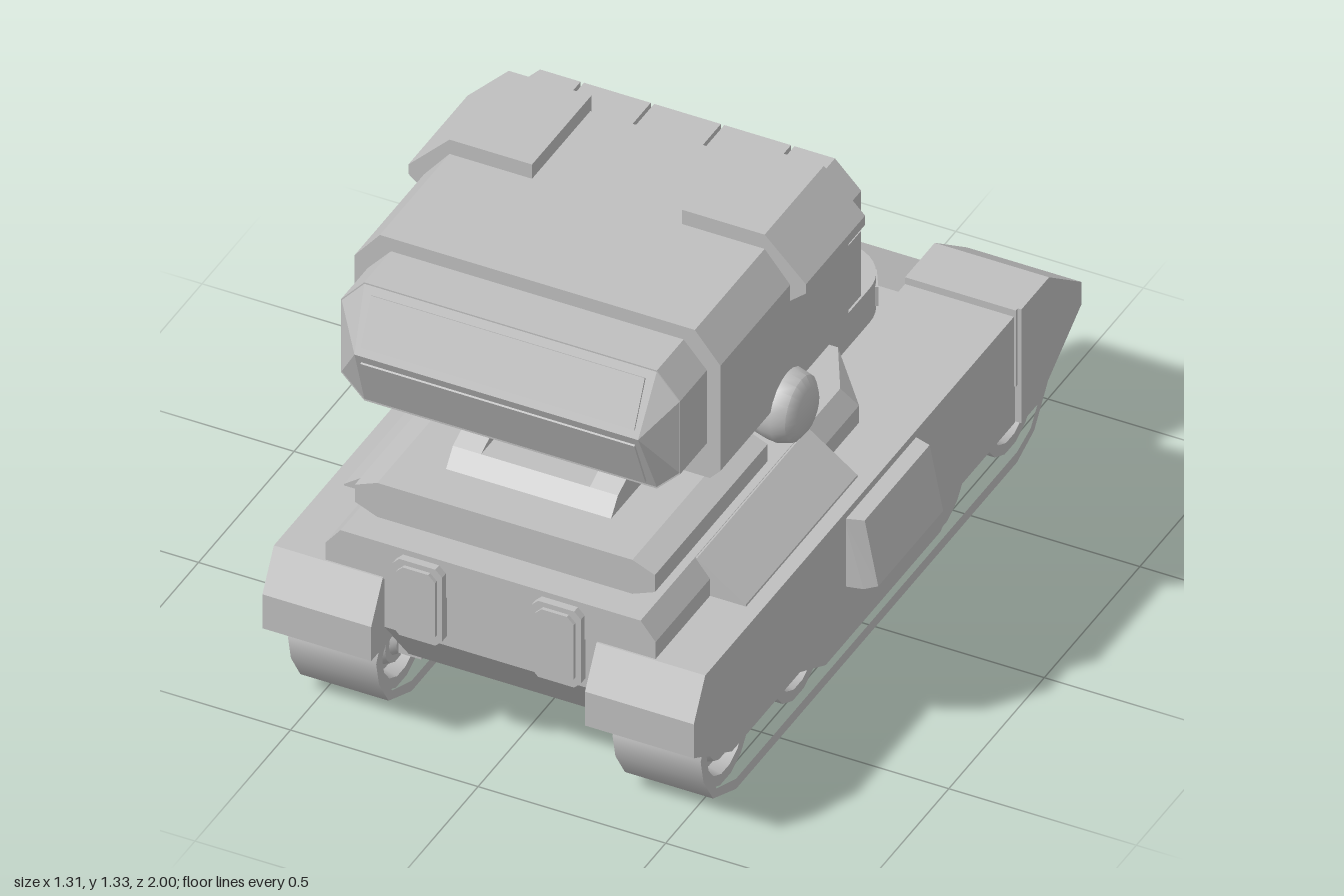
import * as THREE from 'three';
import { toCreasedNormals } from 'three/addons/utils/BufferGeometryUtils.js';
import { ConvexGeometry } from 'three/addons/geometries/ConvexGeometry.js';

const grey = new THREE.MeshStandardMaterial({ color: 0xbfbfbf });
grey.name = 'plain grey';

export function createModel() {
  const root = new THREE.Group();
  root.name = 'missileTank';

  const add = (name, geo) => {
    const m = new THREE.Mesh(geo, grey);
    m.name = name;
    root.add(m);
    return m;
  };
  const box = (name, x0, x1, y0, y1, z0, z1) => {
    const m = add(name, new THREE.BoxGeometry(x1 - x0, y1 - y0, z1 - z0));
    m.position.set((x0 + x1) / 2, (y0 + y1) / 2, (z0 + z1) / 2);
    return m;
  };
  const outline = (pts) => new THREE.Shape(pts.map(([a, b]) => new THREE.Vector2(a, b)));
  // side profile of [z, y] points, extruded along x
  const sideGeo = (pts, x0, x1, hole) => {
    const flip = (p) => p.map(([z, y]) => [-z, y]);
    const shape = outline(flip(pts));
    if (hole) shape.holes.push(outline(flip(hole)));
    return new THREE.ExtrudeGeometry(shape, { depth: x1 - x0, bevelEnabled: false })
      .rotateY(Math.PI / 2).translate(x0, 0, 0);
  };
  const side = (name, pts, x0, x1) => add(name, sideGeo(pts, x0, x1));
  const pair = (name, pts, x0, x1) => {
    side(name + 'Left', pts, x0, x1);
    side(name + 'Right', pts, -x1, -x0);
  };
  // front profile of [x, y] points, extruded along z
  const front = (name, pts, z0, z1) => add(name, new THREE.ExtrudeGeometry(outline(pts),
    { depth: z1 - z0, bevelEnabled: false }).translate(0, 0, z0));
  const hull = (name, pts) => add(name, new ConvexGeometry(pts.map((p) => new THREE.Vector3(...p))));
  const mirrored = (pts) => [...pts, ...pts.map(([x, y, z]) => [-x, y, z])];
  const symmetric = (half) => [...half, ...half.map(([x, y]) => [-x, y]).reverse()];

  // lower hull, fenders and skirts
  side('centreHull', [[0.93, 0.48], [0.93, 0.33], [0.8, 0.165], [-0.8, 0.165],
    [-0.96, 0.33], [-0.64, 0.48]], -0.287, 0.287);
  pair('sponson', [[0.94, 0.48], [1, 0.375], [1, 0.275], [-0.68, 0.275], [-0.68, 0.48]], 0.285, 0.57);
  pair('skirt', [[0.94, 0.48], [1, 0.375], [1, 0.275], [0.8, 0.165], [-0.68, 0.165], [-0.68, 0.48]], 0.56, 0.575);
  pair('lowerSkirt', [[0.45, 0.2], [0.45, 0.165], [0.3, 0.09], [-0.3, 0.09],
    [-0.42, 0.165], [-0.42, 0.2]], 0.553, 0.57);
  pair('rearFender', [[-0.675, 0.5], [-0.83, 0.5], [-1, 0.375], [-1, 0.31],
    [-0.94, 0.275], [-0.675, 0.275]], 0.285, 0.58);
  pair('rearSkirt', [[-0.685, 0.5], [-0.83, 0.5], [-1, 0.375], [-1, 0.31],
    [-0.77, 0.165], [-0.685, 0.165]], 0.565, 0.59);

  // tilted boxes on the flanks
  for (const s of [1, -1]) {
    hull('flankBox', [
      [0.57, 0.46, 0.205], [0.57, 0.46, -0.165], [0.57, 0.26, 0.205], [0.57, 0.26, -0.165],
      [0.618, 0.46, 0.19], [0.618, 0.46, -0.15], [0.654, 0.278, 0.19], [0.654, 0.278, -0.15],
      [0.62, 0.265, 0.2], [0.62, 0.265, -0.16],
    ].map(([x, y, z]) => [s * x, y, z]));
    // sloping panels beside the upper deck
    const w = [[0.3, 0.475], [0.537, 0.475], [0.535, 0.485], [0.405, 0.579], [0.3, 0.579]];
    front('deckPanel', w.map(([x, y]) => [s * x, y]), 0.065, 0.65);
  }

  // upper deck
  hull('upperDeck', mirrored([
    [0.44, 0.475, 0.935], [0.44, 0.53, 0.935], [0.4, 0.58, 0.935],
    [0.44, 0.475, -0.13], [0.44, 0.53, -0.13], [0.4, 0.58, -0.11],
    [0.33, 0.475, -0.255], [0.32, 0.58, -0.255],
  ]));
  // raised front hatches
  for (const s of [1, -1]) {
    const g = (w, h, z) => {
      const sh = new THREE.Shape(), c = 0.018;
      [[-w + c, -h], [w - c, -h], [w, -h + c], [w, h - c], [w - c, h], [-w + c, h], [-w, h - c], [-w, -h + c]]
        .forEach(([x, y], i) => (i ? sh.lineTo(x, y) : sh.moveTo(x, y)));
      return new THREE.ExtrudeGeometry(sh, { depth: z, bevelEnabled: false }).translate(s * 0.185, 0.452, 0.925);
    };
    add('frontHatch', g(0.066, 0.112, 0.03));
    add('frontHatchPanel', g(0.052, 0.098, 0.04));
  }

  // rear tongue with a round hatch
  const tongue = new THREE.Shape();
  tongue.moveTo(0, 0.2);
  tongue.lineTo(0.28, 0.2);
  tongue.lineTo(0.28, 0.5);
  tongue.absarc(0.14, 0.5, 0.14, 0, Math.PI, false);
  add('hatchTongue', new THREE.ExtrudeGeometry(tongue, { depth: 0.1, bevelEnabled: false, curveSegments: 10 })
    .rotateX(-Math.PI / 2).translate(0, 0.48, 0));
  add('roundHatch', toCreasedNormals(new THREE.CylinderGeometry(0.095, 0.104, 0.035, 14), 0.6))
    .position.set(0.14, 0.595, -0.495);
  for (const a of [-1.05, -0.35, 0.35, 1.05]) {
    const m = add('hatchWindow', new THREE.BoxGeometry(0.07, 0.055, 0.009));
    m.position.set(0.14 + Math.sin(a) * 0.139, 0.53, -0.5 - Math.cos(a) * 0.139);
    m.rotation.y = -a;
  }
  // sloping fins beside the rear recess
  for (const x of [-0.28, -0.036]) {
    side('recessFin', [[-0.24, 0.475], [-0.24, 0.58], [-0.3, 0.575], [-0.55, 0.475]], x, x + 0.036);
  }

  // running gear
  const loop = (d) => [[0.73, d], [0.85 - d * 0.6, 0.05 + d * 0.6], [0.9 - d, 0.13], [0.915 - d, 0.2],
    [0.88 - d, 0.27 - d], [-0.88 + d, 0.27 - d], [-0.925 + d, 0.2], [-0.9 + d, 0.13],
    [-0.83 + d * 0.6, 0.035 + d * 0.6], [-0.74, d]];
  const profile = [[0, -0.1], [0.035, -0.1], [0.045, -0.085], [0.065, -0.085], [0.075, -0.06], [0.09, -0.06],
    [0.1, -0.095], [0.13, -0.095]];
  const wheelGeo = toCreasedNormals(new THREE.LatheGeometry(
    [...profile, ...profile.map(([r, h]) => [r, -h]).reverse()].map(([r, h]) => new THREE.Vector2(r, h)), 14)
    .rotateZ(Math.PI / 2), 0.5);
  for (const s of [1, -1]) {
    const x0 = s > 0 ? 0.315 : -0.55;
    add('track', toCreasedNormals(sideGeo(loop(0), x0, x0 + 0.235, loop(0.03)), 0.8));
    for (const z of [0.74, 0.36, 0, -0.39, -0.75]) {
      add('roadWheel', wheelGeo).position.set(s * 0.432, 0.155, z);
      box('wheelAxle', Math.min(s * 0.27, s * 0.36), Math.max(s * 0.27, s * 0.36), 0.13, 0.18, z - 0.025, z + 0.025);
    }
  }

  // turret base and lifting arms
  add('turretRing', new THREE.CylinderGeometry(0.2, 0.2, 0.04, 20)).position.set(0, 0.585, 0.56);
  front('turretBase', symmetric([[0.34, 0.59], [0.4, 0.615], [0.4, 0.665], [0.34, 0.69]]), 0.27, 0.86);
  side('armFoot', [[0.74, 0.685], [0.7, 0.735], [0.32, 0.735], [0.36, 0.685]], -0.22, 0.22);
  pair('liftArm', [[0.74, 0.685], [0.7, 0.735], [0.43, 0.85], [0.4, 0.9], [0.29, 0.9], [0.26, 0.76],
    [0.36, 0.685]], 0.145, 0.22);

  // pivot axle with bulbous ends
  const half = [[0, 0.545], [0.06, 0.543], [0.085, 0.525], [0.095, 0.49], [0.092, 0.46], [0.072, 0.38]];
  add('pivotAxle', toCreasedNormals(new THREE.LatheGeometry(
    [...half.map(([r, h]) => [r, -h]), ...[...half].reverse()].map(([r, h]) => new THREE.Vector2(r, h)), 20)
    .rotateZ(Math.PI / 2), 0.7)).position.set(0, 0.857, 0.34);

  // launcher body and shoulder armour
  front('launcherBody', symmetric([[0.46, 0.86], [0.488, 0.89], [0.488, 1.2], [0.42, 1.283]]), 0.02, 0.69);
  for (const s of [1, -1]) {
    front('shoulderArmour', [[0.2, 1.27], [0.2, 1.325], [0.42, 1.325], [0.53, 1.215], [0.53, 1.188],
      [0.485, 1.15], [0.47, 1.15], [0.4, 1.27]].map(([x, y]) => [s * x, y]), 0.015, 0.325);
  }

  // front housing with wedge nose and window plates
  const rim = [[0.39, 0.897], [0.452, 0.96], [0.452, 1.175], [0.39, 1.245]];
  front('noseHousing', symmetric(rim), 0.68, 0.83);
  hull('noseWedge', mirrored([...rim.map(([x, y]) => [x, y, 0.828]), [0.378, 1.085, 0.905]]));
  for (const [name, y, z, h, tilt] of [['upperWindow', 1.163, 0.8685, 0.13, -0.438], ['lowerWindow', 0.988, 0.867, 0.155, 0.384]]) {
    const m = add(name, new THREE.BoxGeometry(0.73, h, 0.008));
    m.position.set(0, y, z);
    m.rotation.x = tilt;
  }

  // two rows of five missile tubes at the back, outer top corners cut
  for (let i = 0; i < 5; i++) {
    const x0 = -0.465 + i * 0.187, x1 = x0 + 0.178;
    box('lowerTube', x0, x1, 0.882, 1.072, -0.1, 0.03);
    const top = [[x0, 1.088], [x1, 1.088]];
    if (i === 4) top.push([x1, 1.19], [x1 - 0.07, 1.262]);
    else top.push([x1, 1.262]);
    if (i === 0) top.push([x0 + 0.07, 1.262], [x0, 1.19]);
    else top.push([x0, 1.262]);
    front('upperTube', top, -0.1, 0.03);
  }
  return root;
}
